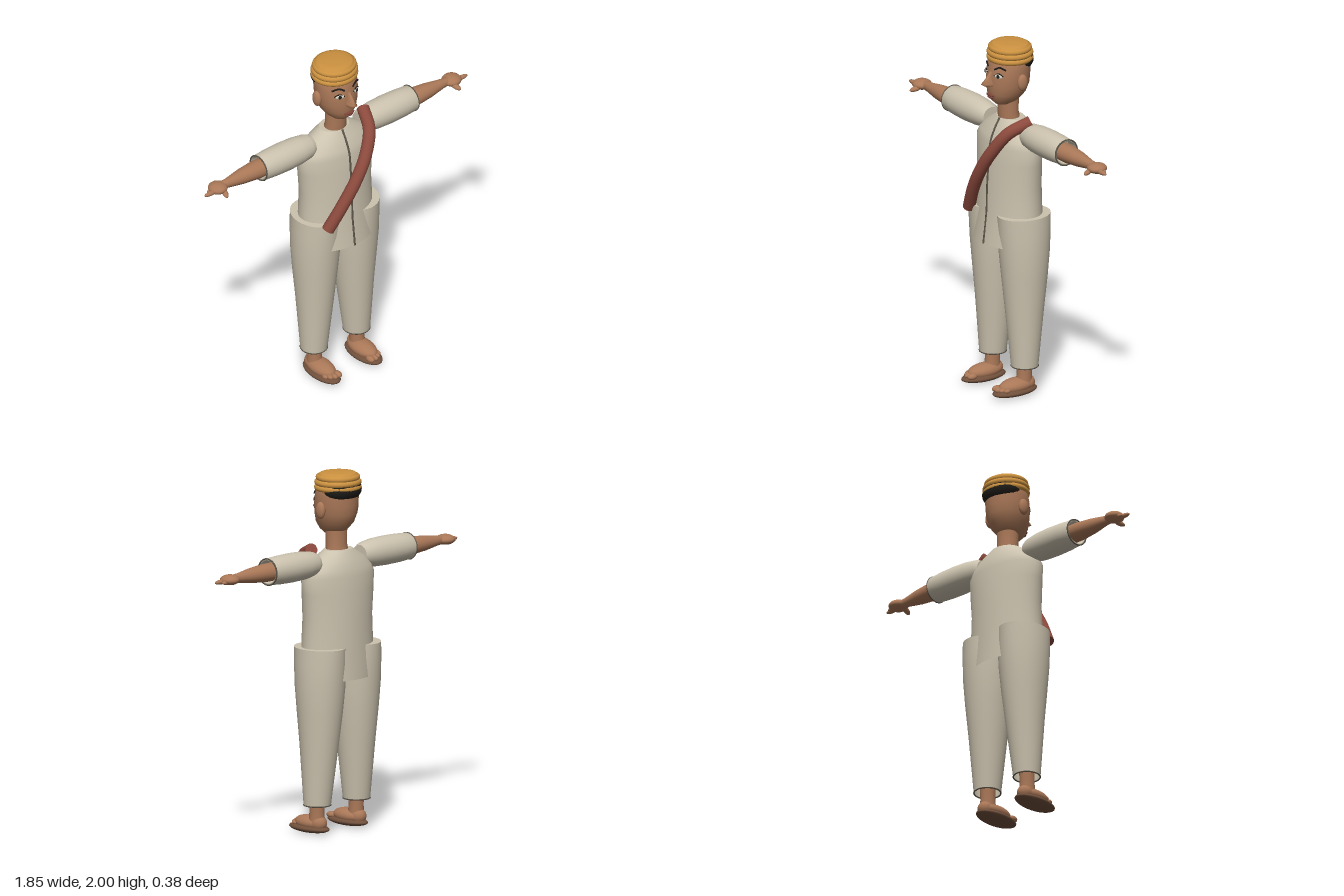
import * as THREE from 'three';

const mat = (name, color, side = THREE.FrontSide) => {
  const m = new THREE.MeshStandardMaterial({ color, side });
  m.name = name;
  return m;
};

// Skin of elliptical rings [y, centreX, centreZ, radiusX, radiusZ], from bottom to top
function loft(rings, capBottom, capTop, n = 32) {
  const pos = [], idx = [];
  const addRing = ([y, cx, cz, rx, rz]) => {
    for (let j = 0; j < n; j++) {
      const a = (j / n) * Math.PI * 2;
      pos.push(cx + Math.sin(a) * rx, y, cz + Math.cos(a) * rz);
    }
  };
  rings.forEach(addRing);
  for (let i = 0; i < rings.length - 1; i++) {
    for (let j = 0; j < n; j++) {
      const a = i * n + j, b = i * n + ((j + 1) % n);
      idx.push(a, b, b + n, a, b + n, a + n);
    }
  }
  const cap = (ring, up) => {
    const s = pos.length / 3;
    addRing(ring);
    pos.push(ring[1], ring[0], ring[2]);
    for (let j = 0; j < n; j++) {
      const a = s + j, b = s + ((j + 1) % n);
      if (up) idx.push(a, b, s + n);
      else idx.push(b, a, s + n);
    }
  };
  if (capBottom) cap(rings[0], false);
  if (capTop) cap(rings[rings.length - 1], true);
  const g = new THREE.BufferGeometry();
  g.setAttribute('position', new THREE.Float32BufferAttribute(pos, 3));
  g.setIndex(idx);
  g.computeVertexNormals();
  return g;
}

const tube = (points, r, segs = 24, sides = 8) => new THREE.TubeGeometry(
  new THREE.CatmullRomCurve3(points.map(p => new THREE.Vector3(...p))), segs, r, sides);

export function createModel() {
  const model = new THREE.Group();
  const skin = mat('skin', 0xaa7858);
  const lipRed = mat('lip', 0x7d4438);
  const eyeWhite = mat('eyeWhite', 0xe2dccb);
  const dark = mat('hairBlack', 0x1f1d18);
  const straw = mat('hatOchre', 0xcb9140);
  const cloth = mat('cloth', 0xcbc2ae, THREE.DoubleSide);
  const trim = mat('trim', 0x5c5549);
  const red = mat('sashRed', 0x8c4a3d, THREE.DoubleSide);
  const leather = mat('soleBrown', 0x70503c);

  const add = (name, geo, m, p = [0, 0, 0], r = [0, 0, 0]) => {
    const mesh = new THREE.Mesh(geo, m);
    mesh.name = name;
    mesh.position.set(...p);
    mesh.rotation.set(...r);
    model.add(mesh);
    return mesh;
  };
  const ball = (name, m, p, s, r) => {
    const mesh = add(name, new THREE.SphereGeometry(1, 24, 16), m, p, r);
    mesh.scale.set(...s);
    return mesh;
  };

  // Tunic with a front seam
  const tunic = [
    [0.86, 0, -0.02, 0.24, 0.165], [1.04, 0, -0.027, 0.232, 0.151],
    [1.2, 0, -0.028, 0.225, 0.147], [1.34, 0, -0.03, 0.24, 0.138],
    [1.43, 0, -0.03, 0.248, 0.13], [1.47, 0, -0.032, 0.225, 0.12],
    [1.52, 0, -0.035, 0.17, 0.1], [1.57, 0, -0.035, 0.09, 0.07],
  ];
  add('tunic', loft(tunic, false, true, 40), cloth);
  add('frontSeam', tube(tunic.map(([y, , cz, , rz]) => [0, y, cz + rz]), 0.006, 40), trim);

  // Sash across the chest, closed at both ends
  const sashPath = [[0.2, 1.59, -0.03], [0.15, 1.53, 0.085], [0.08, 1.42, 0.14],
    [0, 1.3, 0.158], [-0.09, 1.16, 0.148], [-0.17, 1.02, 0.12]];
  add('sash', tube(sashPath, 0.035, 32, 16), red);
  for (const [end, next] of [[0, 1], [5, 4]]) {
    const c = add('sashEnd', new THREE.CircleGeometry(0.035, 16), red, sashPath[end]);
    const away = new THREE.Vector3(...sashPath[end]).multiplyScalar(2)
      .sub(new THREE.Vector3(...sashPath[next]));
    c.lookAt(away);
  }

  // Neck and head
  add('neck', loft([[1.54, 0, -0.03, 0.068, 0.06], [1.6, 0, -0.02, 0.06, 0.056],
    [1.7, 0, -0.02, 0.062, 0.06]], false, false), skin);
  add('head', loft([
    [1.645, 0, -0.005, 0.02, 0.025], [1.655, 0, 0, 0.045, 0.06], [1.68, 0, 0, 0.072, 0.085],
    [1.72, 0, -0.01, 0.1, 0.11], [1.77, 0, -0.018, 0.116, 0.12], [1.82, 0, -0.02, 0.122, 0.121],
    [1.87, 0, -0.025, 0.124, 0.117], [1.92, 0, -0.03, 0.12, 0.11], [1.96, 0, -0.03, 0.09, 0.08],
  ], true, true), skin);
  add('nose', loft([[1.764, 0, 0.095, 0.015, 0.01], [1.77, 0, 0.1, 0.027, 0.035],
    [1.785, 0, 0.1, 0.024, 0.06], [1.81, 0, 0.1, 0.014, 0.034], [1.85, 0, 0.09, 0.01, 0.012]],
    true, true, 16), skin);
  ball('upperLip', lipRed, [0, 1.716, 0.098], [0.034, 0.008, 0.014]);
  ball('lowerLip', lipRed, [0, 1.703, 0.095], [0.028, 0.009, 0.014]);
  ball('hair', dark, [0, 1.905, -0.062], [0.123, 0.075, 0.097]);

  // Coiled hat with a domed crown
  [[1.914, 0.117], [1.942, 0.116], [1.969, 0.108]].forEach(([y, r]) => {
    const coil = add('hatCoil', new THREE.TorusGeometry(r, 0.017, 12, 40), straw,
      [0, y, -0.033], [Math.PI / 2, 0, 0]);
    coil.scale.y = 0.95;
  });
  const crown = add('hatCrown', new THREE.LatheGeometry([[0.115, 1.91], [0.115, 1.97],
    [0.112, 1.985], [0.098, 1.994], [0.06, 1.999], [0, 2]]
    .map(p => new THREE.Vector2(...p)), 40), straw, [0, 0, -0.033]);
  crown.scale.z = 0.95;

  for (const s of [1, -1]) {
    // Face details
    ball('ear', skin, [s * 0.127, 1.797, -0.027], [0.021, 0.047, 0.031]);
    ball('eye', eyeWhite, [s * 0.057, 1.835, 0.084], [0.026, 0.014, 0.008], [0, s * 0.45, 0]);
    ball('pupil', dark, [s * 0.059, 1.835, 0.09], [0.01, 0.011, 0.005], [0, s * 0.45, 0]);
    add('upperLid', tube([[s * 0.031, 1.834, 0.096], [s * 0.058, 1.85, 0.085],
      [s * 0.084, 1.837, 0.071]], 0.0035, 12, 6), dark);
    add('eyebrow', tube([[s * 0.028, 1.868, 0.091], [s * 0.06, 1.885, 0.079],
      [s * 0.092, 1.872, 0.058]], 0.005, 12, 6), dark);

    // Arm: sleeve, cuff, forearm and hand
    const alongX = [0, 0, -s * Math.PI / 2];
    add('sleeve', loft([[0.17, 0, 0, 0.055, 0.055], [0.2, 0, 0, 0.068, 0.07],
      [0.27, 0, 0, 0.078, 0.08], [0.36, 0, 0, 0.081, 0.084], [0.45, 0, 0, 0.079, 0.082],
      [0.535, 0, 0, 0.073, 0.075], [0.533, 0, 0, 0.062, 0.064], [0.48, 0, 0, 0.06, 0.06]],
      true, false), cloth, [0, 1.51, -0.03], alongX);
    add('sleeveHem', new THREE.TorusGeometry(0.073, 0.004, 8, 32), trim,
      [s * 0.535, 1.51, -0.03], [0, Math.PI / 2, 0]);
    add('forearm', loft([[0.46, 0, 0, 0.05, 0.055], [0.56, 0, 0, 0.05, 0.056],
      [0.66, 0, 0, 0.042, 0.044], [0.76, 0, 0, 0.027, 0.025], [0.82, 0, 0, 0.022, 0.025]],
      true, true, 24), skin, [0, 1.508, -0.03], alongX);
    ball('palm', skin, [s * 0.823, 1.507, -0.03], [0.055, 0.029, 0.055]);
    ball('finger', skin, [s * 0.882, 1.5, -0.018], [0.043, 0.013, 0.014]);
    ball('finger', skin, [s * 0.86, 1.497, -0.04], [0.03, 0.012, 0.014]);
    ball('thumb', skin, [s * 0.812, 1.492, 0.02], [0.016, 0.014, 0.036], [0.25, s * 0.3, 0]);

    // Trouser leg with hem
    add('trouserLeg', loft([[0.16, s * 0.15, -0.025, 0.075, 0.075],
      [0.3, s * 0.146, -0.027, 0.088, 0.089], [0.5, s * 0.14, -0.03, 0.106, 0.11],
      [0.68, s * 0.137, -0.032, 0.123, 0.13], [0.83, s * 0.135, -0.032, 0.135, 0.144],
      [0.95, s * 0.134, -0.031, 0.134, 0.152], [1.04, s * 0.134, -0.03, 0.13, 0.156]],
      false, true), cloth);
    add('trouserHem', new THREE.TorusGeometry(0.074, 0.004, 8, 32), trim,
      [s * 0.15, 0.161, -0.025], [Math.PI / 2, 0, 0]);

    // Foot on a flat sandal
    add('ankle', loft([[0.05, s * 0.15, -0.02, 0.045, 0.05], [0.12, s * 0.15, -0.022, 0.04, 0.042],
      [0.22, s * 0.15, -0.025, 0.042, 0.045]], false, true, 24), skin);
    ball('sole', leather, [s * 0.147, 0.026, 0.04], [0.07, 0.026, 0.142]);
    ball('foot', skin, [s * 0.147, 0.056, 0.03], [0.06, 0.042, 0.11]);
    ball('heel', skin, [s * 0.15, 0.06, -0.035], [0.045, 0.045, 0.05]);
    [[0.115, 0.137, 0.02], [0.142, 0.143, 0.016], [0.165, 0.132, 0.015], [0.185, 0.115, 0.013]]
      .forEach(([x, z, r]) => ball('toe', skin, [s * x, 0.048, z], [r, r * 0.9, r * 1.5]));
  }
  return model;
}
